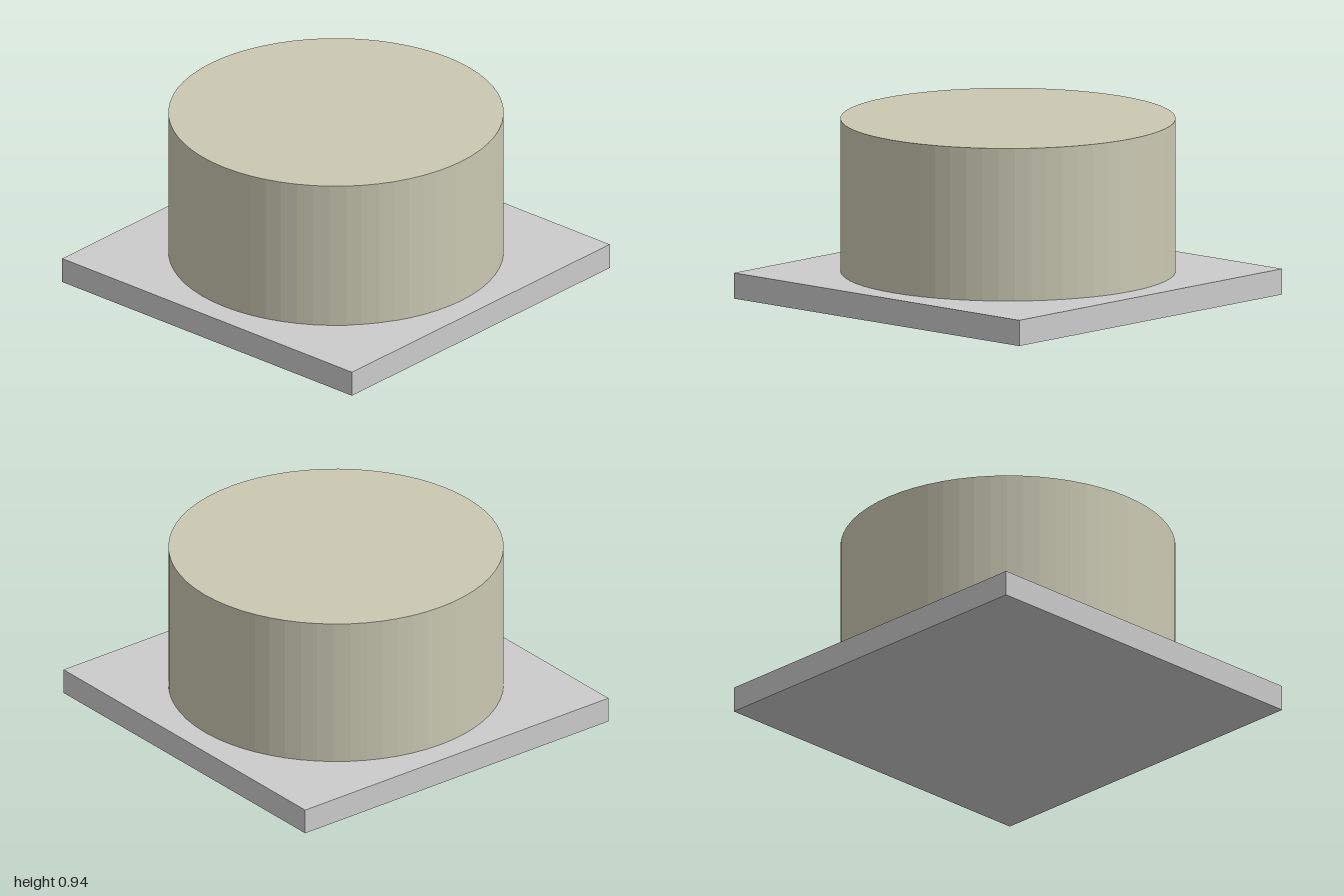
import * as THREE from 'three';

const BOARD_HEIGHT = 0.135;
const CAKE_HEIGHT = 0.8;
const CAKE_RADIUS = 0.865;

function addPart(group, name, geometry, material, x, y, z) {
  const mesh = new THREE.Mesh(geometry, material);
  mesh.name = name;
  mesh.position.set(x, y, z);
  group.add(mesh);
  return mesh;
}

export function createModel() {
  const group = new THREE.Group();
  group.name = 'cakeOnBoard';

  const grey = new THREE.MeshStandardMaterial({ color: 0xcccccc });
  const cream = new THREE.MeshStandardMaterial({ color: 0xcac8b2, flatShading: true });

  // Square board
  addPart(group, 'board', new THREE.BoxGeometry(2, BOARD_HEIGHT, 2), grey, 0, BOARD_HEIGHT / 2, 0);

  // Round cake, standing on the board
  addPart(group, 'cake', new THREE.CylinderGeometry(CAKE_RADIUS, CAKE_RADIUS, CAKE_HEIGHT, 64),
    cream, 0, BOARD_HEIGHT + CAKE_HEIGHT / 2, 0);

  // Blank label lying on the front corner, partly under the cake
  const label = new THREE.PlaneGeometry(0.475, 0.24).rotateX(-Math.PI / 2);
  addPart(group, 'blankLabel', label, grey, -0.643, BOARD_HEIGHT + 0.001, 0.757);

  return group;
}
